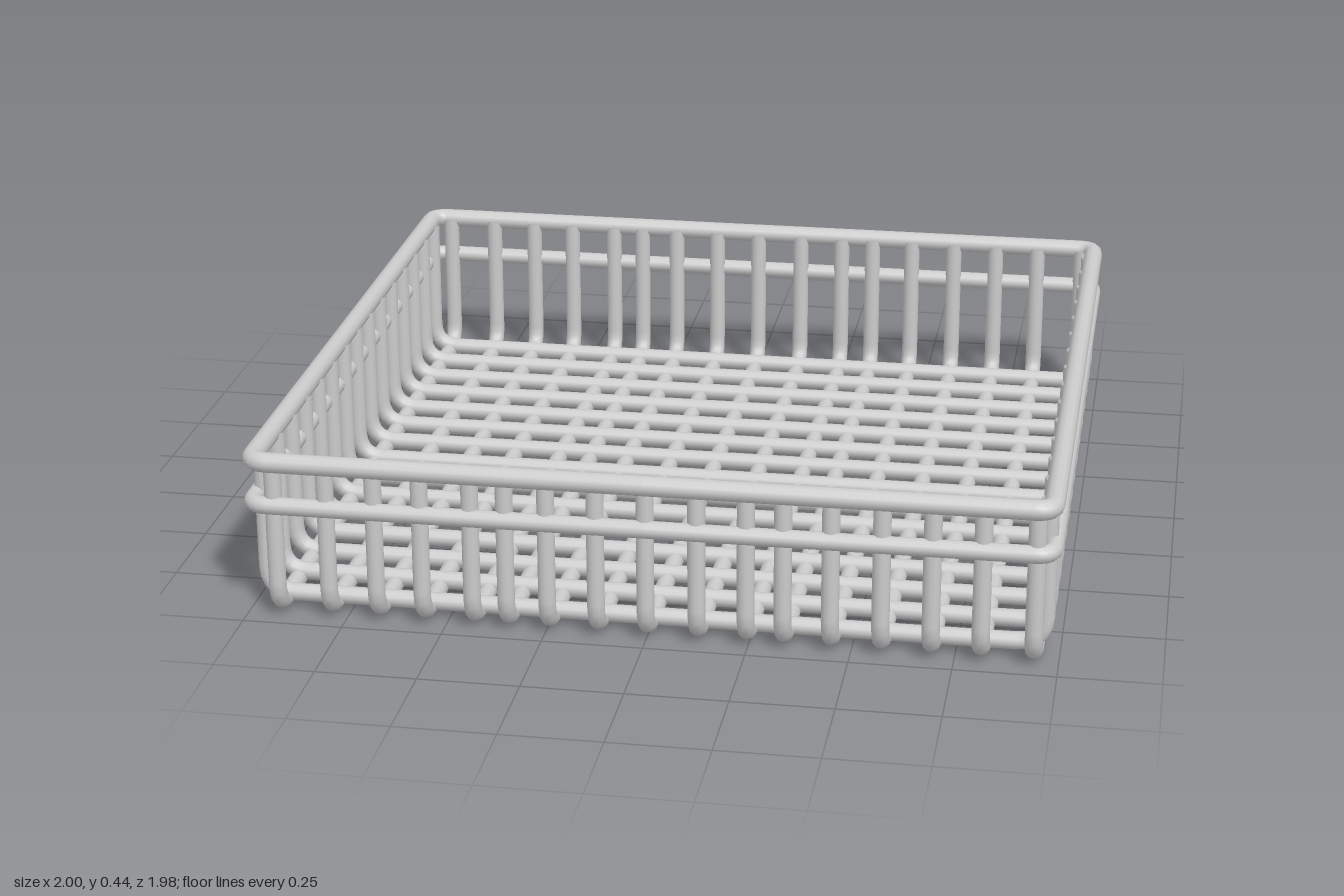
import * as THREE from 'three';

const V = (x, y, z) => new THREE.Vector3(x, y, z);
const material = new THREE.MeshStandardMaterial({ color: 0xcccccc, side: THREE.DoubleSide });

// Curve that places one tube ring exactly on each path point
class WirePath extends THREE.Curve {
  constructor(points) {
    super();
    this.points = points;
  }
  getPoint(t, target = V(0, 0, 0)) {
    const n = this.points.length - 1;
    const s = Math.min(Math.max(t, 0), 1) * n;
    const i = Math.min(Math.floor(s), n - 1);
    return target.lerpVectors(this.points[i], this.points[i + 1], s - i);
  }
  getPointAt(t, target) {
    return this.getPoint(t, target);
  }
  getTangentAt(t, target = V(0, 0, 0)) {
    const d = 0.3 / (this.points.length - 1);
    return target.copy(this.getPoint(t + d)).sub(this.getPoint(t - d)).normalize();
  }
}

// Rounds the inner corners of a polyline
function roundCorners(corners, radius, steps = 5) {
  const points = [corners[0]];
  for (let i = 1; i < corners.length - 1; i++) {
    const c = corners[i];
    const a = corners[i - 1].clone().sub(c).setLength(radius).add(c);
    const b = corners[i + 1].clone().sub(c).setLength(radius).add(c);
    points.push(...new THREE.QuadraticBezierCurve3(a, c, b).getPoints(steps));
  }
  points.push(corners[corners.length - 1]);
  return points;
}

function wire(name, corners, bend, radius) {
  const points = roundCorners(corners, bend);
  const geometry = new THREE.TubeGeometry(new WirePath(points), points.length - 1, radius, 12);
  const mesh = new THREE.Mesh(geometry, material);
  mesh.name = name;
  return mesh;
}

// Closed horizontal ring, starting in the middle of the front side
function ring(name, y, x, z, radius) {
  const corners = [V(0, y, z), V(x, y, z), V(x, y, -z), V(-x, y, -z), V(-x, y, z), V(0, y, z)];
  return wire(name, corners, 0.045, radius);
}

export function createModel() {
  const basket = new THREE.Group();
  basket.name = 'wireBasket';

  const rimY = 0.412, wireR = 0.022, bend = 0.07;
  const wallX = 0.964, wallZ = 0.955;

  // Top rim and the lower band around the walls
  basket.add(ring('topRim', rimY, 0.975, 0.966, 0.025));
  basket.add(ring('wallBand', 0.3, 0.978, 0.969, 0.022));

  // U-shaped wires running front to back
  const lengthwise = new THREE.Group();
  lengthwise.name = 'frontToBackWires';
  const xs = [-0.92, -0.79, -0.67, -0.555, -0.43, -0.345, -0.243, -0.122, 0,
    0.125, 0.245, 0.335, 0.45, 0.572, 0.693, 0.813, 0.94];
  for (const x of xs) {
    const y = 0.022;
    lengthwise.add(wire('frontToBackWire',
      [V(x, rimY, wallZ), V(x, y, wallZ), V(x, y, -wallZ), V(x, rimY, -wallZ)], bend, wireR));
  }
  basket.add(lengthwise);

  // U-shaped wires running side to side, laid over the others
  const crosswise = new THREE.Group();
  crosswise.name = 'sideToSideWires';
  for (let i = -7; i <= 7; i++) {
    const y = 0.036, z = i * 0.127;
    crosswise.add(wire('sideToSideWire',
      [V(-wallX, rimY, z), V(-wallX, y, z), V(wallX, y, z), V(wallX, rimY, z)], bend, wireR));
  }
  basket.add(crosswise);

  return basket;
}
